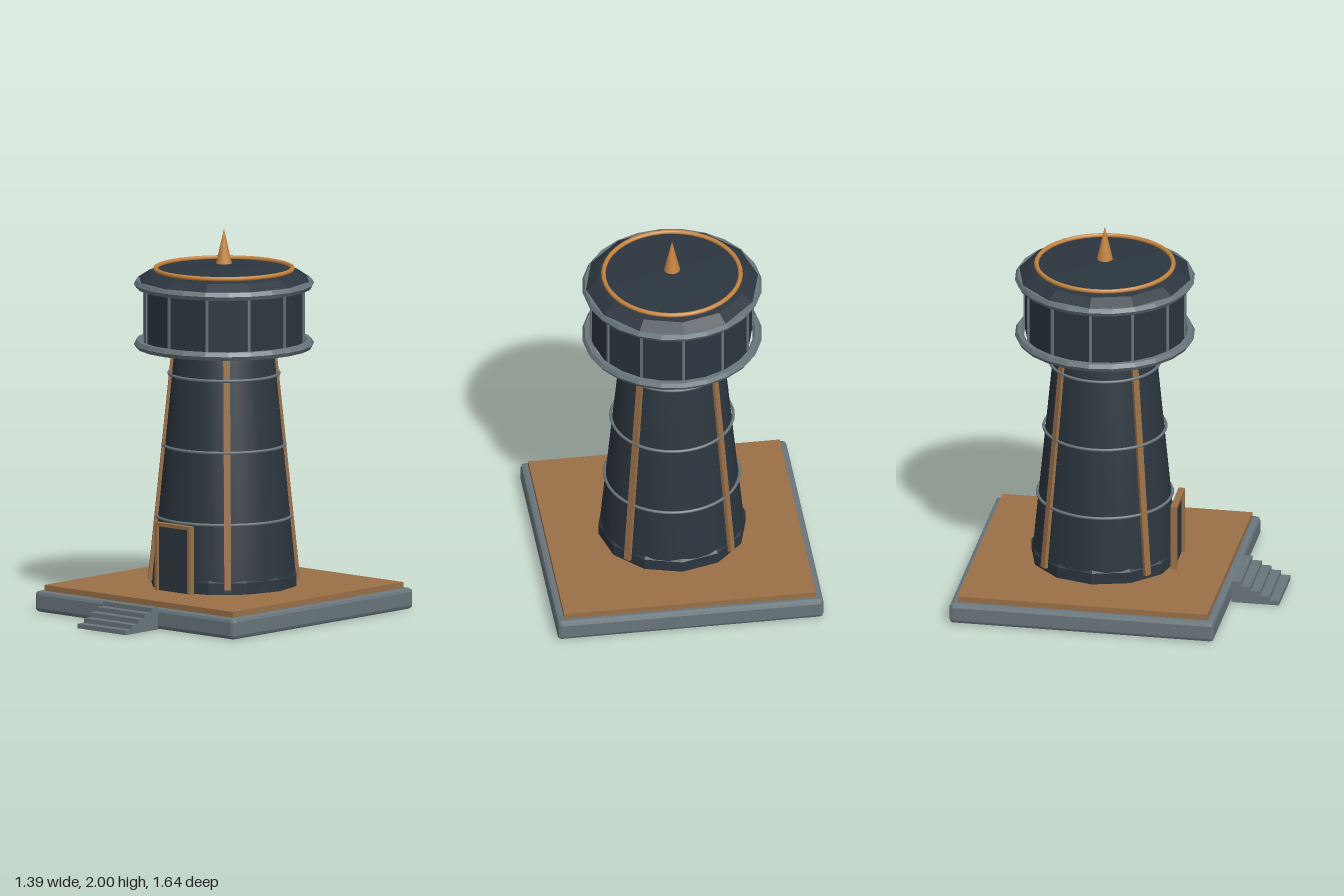
import * as THREE from 'three';
import { RoundedBoxGeometry } from 'three/addons/geometries/RoundedBoxGeometry.js';
import { toCreasedNormals } from 'three/addons/utils/BufferGeometryUtils.js';

const material = (name, color) => {
  const m = new THREE.MeshStandardMaterial({ color });
  m.name = name;
  return m;
};

const flat = (geometry) => {
  const g = geometry.index ? geometry.toNonIndexed() : geometry;
  g.computeVertexNormals();
  return g;
};

const lathe = (points, sides) =>
  new THREE.LatheGeometry(points.map(([r, y]) => new THREE.Vector2(r, y)), sides);

export function createModel() {
  const slate = material('slate', 0x2c363f);
  const steel = material('steel', 0x69767c);
  const bronze = material('bronze', 0x9a7048);
  const brass = material('brass', 0xc4843f);

  const model = new THREE.Group();
  model.name = 'tower';
  const tower = new THREE.Group(); // everything centred on the platform
  tower.name = 'towerOnPlatform';
  tower.position.z = -0.125;
  model.add(tower);

  const add = (parent, name, geometry, mat, x = 0, y = 0, z = 0) => {
    const mesh = new THREE.Mesh(geometry, mat);
    mesh.name = name;
    mesh.position.set(x, y, z);
    parent.add(mesh);
    return mesh;
  };
  const ring = (name, radius, tube, y, mat, radial, around) => {
    const g = new THREE.TorusGeometry(radius, tube, radial, around).rotateX(Math.PI / 2);
    add(tower, name, radial <= 6 ? flat(g) : g, mat, 0, y, 0);
  };

  // Platform: chamfered base and paved top
  add(tower, 'platformBase', flat(new RoundedBoxGeometry(1.39, 0.11, 1.39, 1, 0.02)), steel, 0, 0.055, 0);
  add(tower, 'platformTop', new THREE.BoxGeometry(1.315, 0.04, 1.315), bronze, 0, 0.12, 0);

  // Steps: one stepped side profile swept across the width
  const profile = new THREE.Shape();
  const count = 5, run = 0.05, rise = 0.0235;
  profile.moveTo(0.57, 0);
  profile.lineTo(0.57, count * rise);
  for (let i = 0; i < count; i++) {
    const z = 0.57 + (i + 1) * run;
    profile.lineTo(z, (count - i) * rise);
    profile.lineTo(z, (count - i - 1) * rise);
  }
  const stairs = new THREE.ExtrudeGeometry(profile, { depth: 0.336, bevelEnabled: false });
  stairs.translate(0, 0, -0.168).rotateY(-Math.PI / 2);
  add(model, 'steps', stairs, steel);

  // Plinth and tapering shaft
  add(tower, 'plinth', flat(lathe([[0.385, 0.14], [0.385, 0.2], [0.355, 0.225]], 12)), slate);
  add(tower, 'shaft', toCreasedNormals(
    lathe([[0.375, 0.15], [0.37, 0.22], [0.264, 1.32], [0.245, 1.4]], 32), 0.6), slate);

  // Hoops around the shaft
  for (const [y, r] of [[0.5, 0.35], [0.873, 0.317], [1.245, 0.286]]) {
    ring('shaftHoop', r, 0.008, y, steel, 8, 48);
  }

  // Four leaning ribs on the diagonals
  const lean = Math.atan2(0.38 - 0.256, 1.215);
  for (let i = 0; i < 4; i++) {
    const pivot = new THREE.Group();
    pivot.name = 'ribPivot';
    pivot.rotation.y = Math.PI / 4 + i * Math.PI / 2;
    tower.add(pivot);
    const rib = add(pivot, 'rib', new THREE.BoxGeometry(0.035, 1.22, 0.026), bronze, 0, 0.772, 0.319);
    rib.rotation.x = -lean;
  }

  // Door with a frame of two posts and a lintel
  add(model, 'doorPanel', new THREE.BoxGeometry(0.21, 0.34, 0.02), slate, 0, 0.31, 0.25);
  for (const s of [-1, 1]) {
    add(model, 'doorPost', new THREE.BoxGeometry(0.018, 0.355, 0.034), bronze, s * 0.113, 0.3175, 0.258);
  }
  add(model, 'doorLintel', new THREE.BoxGeometry(0.244, 0.018, 0.034), bronze, 0, 0.486, 0.258);

  // Twelve-sided head with a bar on each corner
  add(tower, 'head', flat(new THREE.CylinderGeometry(0.42, 0.42, 0.34, 12)), slate, 0, 1.56, 0);
  for (let i = 0; i < 12; i++) {
    const a = i * Math.PI / 6;
    const bar = add(tower, 'headBar', new THREE.BoxGeometry(0.014, 0.3, 0.014), steel,
      0.42 * Math.sin(a), 1.56, 0.42 * Math.cos(a));
    bar.rotation.y = a;
  }
  ring('lowerRail', 0.443, 0.024, 1.4, steel, 6, 24);
  ring('upperRail', 0.443, 0.024, 1.714, steel, 6, 24);

  // Roof, trim and finial
  add(tower, 'roof', flat(lathe(
    [[0, 1.715], [0.45, 1.715], [0.45, 1.735], [0.395, 1.772], [0.355, 1.78]], 12)), slate);
  add(tower, 'roofCap', toCreasedNormals(
    lathe([[0.355, 1.765], [0.355, 1.785], [0, 1.795]], 32), 0.6), slate);
  ring('roofTrim', 0.355, 0.012, 1.791, brass, 8, 40);
  add(tower, 'finial', new THREE.ConeGeometry(0.042, 0.182, 12), brass, 0, 1.909, 0);

  return model;
}
